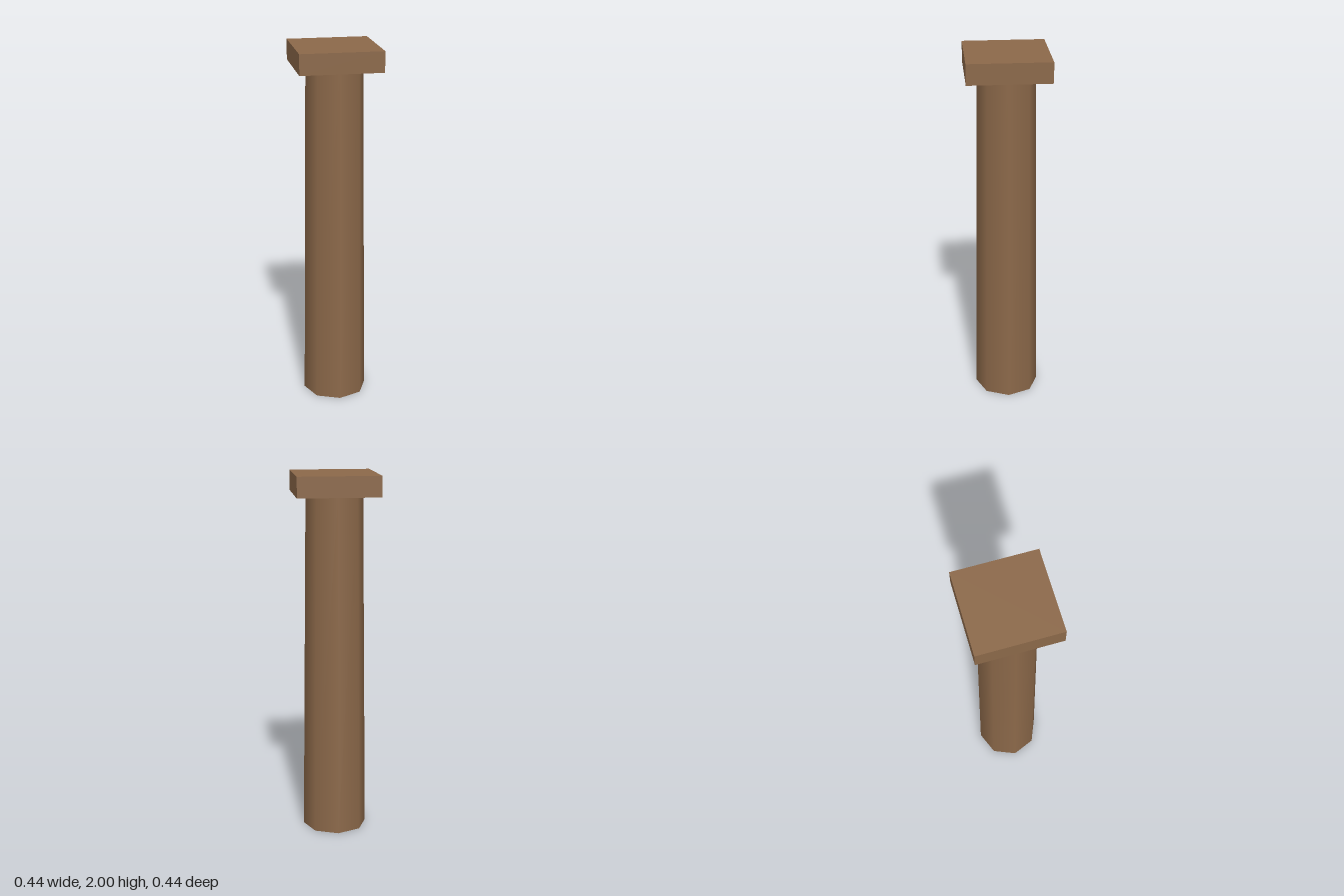
import * as THREE from 'three';

export function createModel() {
  const group = new THREE.Group();
  const wood = new THREE.MeshStandardMaterial({ color: 0x8b6849 });
  wood.name = 'brown wood';

  const height = 2;
  const capHeight = 0.111;
  const shaftHeight = height - capHeight;

  // Tapered eight-sided shaft with smooth sides
  const shaft = new THREE.Mesh(new THREE.CylinderGeometry(0.156, 0.178, shaftHeight, 8), wood);
  shaft.name = 'shaft';
  shaft.position.y = shaftHeight / 2;

  // Square slab on top
  const cap = new THREE.Mesh(new THREE.BoxGeometry(0.444, capHeight, 0.444), wood);
  cap.name = 'cap';
  cap.position.y = height - capHeight / 2;

  group.add(shaft, cap);
  return group;
}
